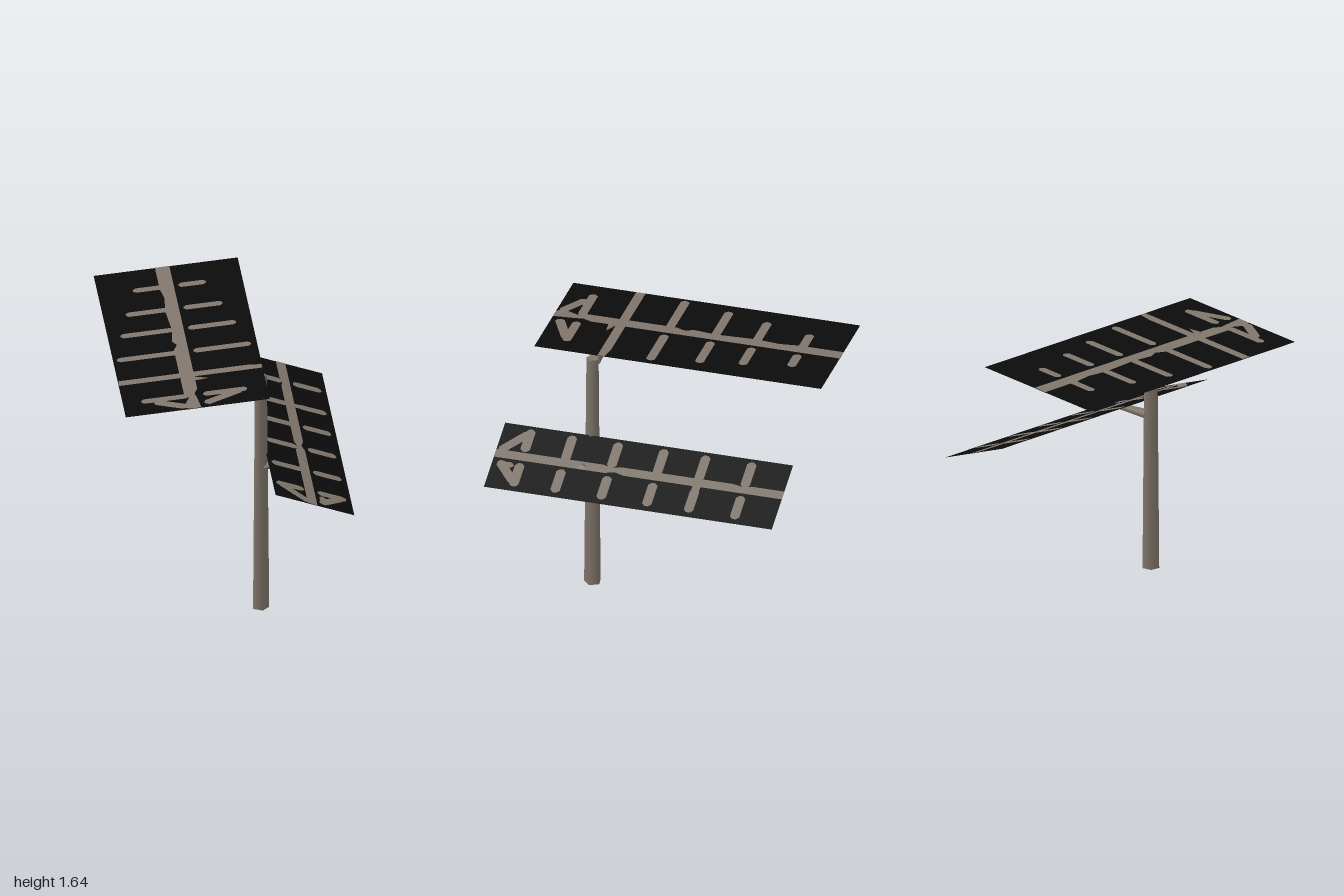
import * as THREE from 'three';

export function createModel() {
  const model = new THREE.Group();
  const bark = new THREE.MeshStandardMaterial({ color: 0x80766c, side: THREE.DoubleSide });
  bark.name = 'bark brown';
  const black = new THREE.MeshStandardMaterial({ color: 0x0b0b0b, side: THREE.DoubleSide });
  black.name = 'leaf black';

  const add = (parent, name, geometry, material) => {
    const mesh = new THREE.Mesh(geometry, material);
    mesh.name = name;
    parent.add(mesh);
    return mesh;
  };

  // Tapered five-sided trunk
  const trunk = add(model, 'trunk',
    new THREE.CylinderGeometry(0.04, 0.054, 1.61, 5, 1, false, Math.PI * 1.25), bark);
  trunk.position.set(0.174, 0.805, 0.453);

  // Side branch: flattened tapered tube with an end cut on a slant
  function branch(name, dir, x0, y0, r0, x1, y1, r1, slant) {
    const g = new THREE.CylinderGeometry(r1, r0, 1, 5);
    const p = g.attributes.position;
    for (let i = 0; i < p.count; i++) {
      const t = p.getY(i) + 0.5;
      const dy = -dir * p.getX(i) * 0.63;
      p.setXYZ(i, x0 + (x1 - x0) * t - t * dir * dy * slant,
        y0 + (y1 - y0) * t + dy, p.getZ(i) + 0.447);
    }
    g.computeVertexNormals();
    add(model, name, g, bark);
  }
  branch('upperBranch', -1, 0.17, 1.584, 0.042, -0.275, 1.591, 0.038, 1.5);
  branch('lowerBranch', 1, 0.19, 0.984, 0.044, 0.46, 0.983, 0.026, 1.4);

  // Closed outline from [x, z] points
  const outline = pts => new THREE.Shape(pts.map(([x, z]) => new THREE.Vector2(x, -z)));

  // Straight strip with chamfered ends
  function strip(x0, z0, x1, z1, w = 0.056) {
    const len = Math.hypot(x1 - x0, z1 - z0);
    const ux = (x1 - x0) / len, uz = (z1 - z0) / len;
    const c = 0.018, h = w / 2;
    return outline([[0, h - c], [c, h], [len - c, h], [len, h - c],
      [len, c - h], [len - c, -h], [c, -h], [0, c - h]]
      .map(([a, b]) => [x0 + ux * a - uz * b, z0 + uz * a + ux * b]));
  }

  // Lay flat outlines on a plane that slopes along x
  function lay(shapes, height, offset) {
    const g = new THREE.ShapeGeometry(shapes);
    g.rotateX(-Math.PI / 2);
    const p = g.attributes.position;
    for (let i = 0; i < p.count; i++) p.setY(i, height(p.getX(i)) + offset);
    g.computeVertexNormals();
    return g;
  }

  // Leaf panel with its rib pattern on both faces
  function leaf(name, [xa, ya], [xb, yb], z0, z1, ribs) {
    const group = new THREE.Group();
    group.name = name;
    const height = x => ya + (yb - ya) * (x - xa) / (xb - xa);
    add(group, 'leafPanel', lay([outline([[xa, z0], [xa, z1], [xb, z1], [xb, z0]])], height, 0), black);
    add(group, 'ribsTop', lay(ribs, height, 0.002), bark);
    add(group, 'ribsUnder', lay(ribs, height, -0.002), bark);
    model.add(group);
  }

  // Upper leaf: ribs widen towards the front
  const upper = [
    outline([[-0.317, -1], [-0.317, -0.72], [-0.30, -0.6], [-0.315, -0.45], [-0.30, -0.2], [-0.315, -0.05],
      [-0.29, 0], [-0.315, 0.06], [-0.315, 0.64], [-0.29, 0.68], [-0.32, 0.75], [-0.335, 0.79], [-0.30, 0.818],
      [-0.228, 0.818], [-0.24, 0.7], [-0.25, 0.63], [-0.228, 0.58], [-0.228, -1]]),
    outline([[-0.69, 0.36], [-0.69, 0.42], [0.19, 0.42], [0.19, 0.375], [0.1, 0.36]]),
    strip(-0.5, 0.68, -0.31, 0.79, 0.06),
    strip(0.035, 0.66, -0.2, 0.77, 0.06),
  ];
  const upperRibs = [[-0.745, -0.48, -0.03], [-0.455, -0.555, 0.04], [-0.195, -0.615, 0.095],
    [0.098, -0.67, 0.155], [0.655, -0.58, 0.07]];
  for (const [z, left, right] of upperRibs) {
    upper.push(strip(left, z, -0.29, z), strip(-0.2, z, right, z));
  }
  leaf('upperLeaf', [-0.693, 1.565], [0.192, 1.642], -1, 0.82, upper);

  // Lower leaf: ribs of equal length
  const lower = [
    outline([[0.407, -0.827], [0.407, -0.62], [0.42, -0.58], [0.407, -0.5], [0.407, 0.2], [0.42, 0.26],
      [0.407, 0.32], [0.407, 0.998], [0.466, 0.998], [0.466, 0.3], [0.45, 0.24], [0.466, 0.18], [0.466, -0.827]]),
    strip(0.26, 0.83, 0.42, 0.98, 0.055),
    strip(0.63, 0.83, 0.49, 0.96, 0.055),
    strip(0.51, 0.86, 0.51, 0.97, 0.04),
    strip(0.44, -0.285, 0.56, -0.285, 0.05),
  ];
  for (const z of [-0.577, -0.285, -0.02, 0.27, 0.562, 0.825]) {
    lower.push(strip(0.232, z, z > 0.8 ? 0.40 : 0.42, z, 0.06), strip(0.486, z, 0.66, z, 0.06));
  }
  leaf('lowerLeaf', [0.208, 1.07], [0.692, 0.9], -0.827, 1, lower);

  return model;
}
